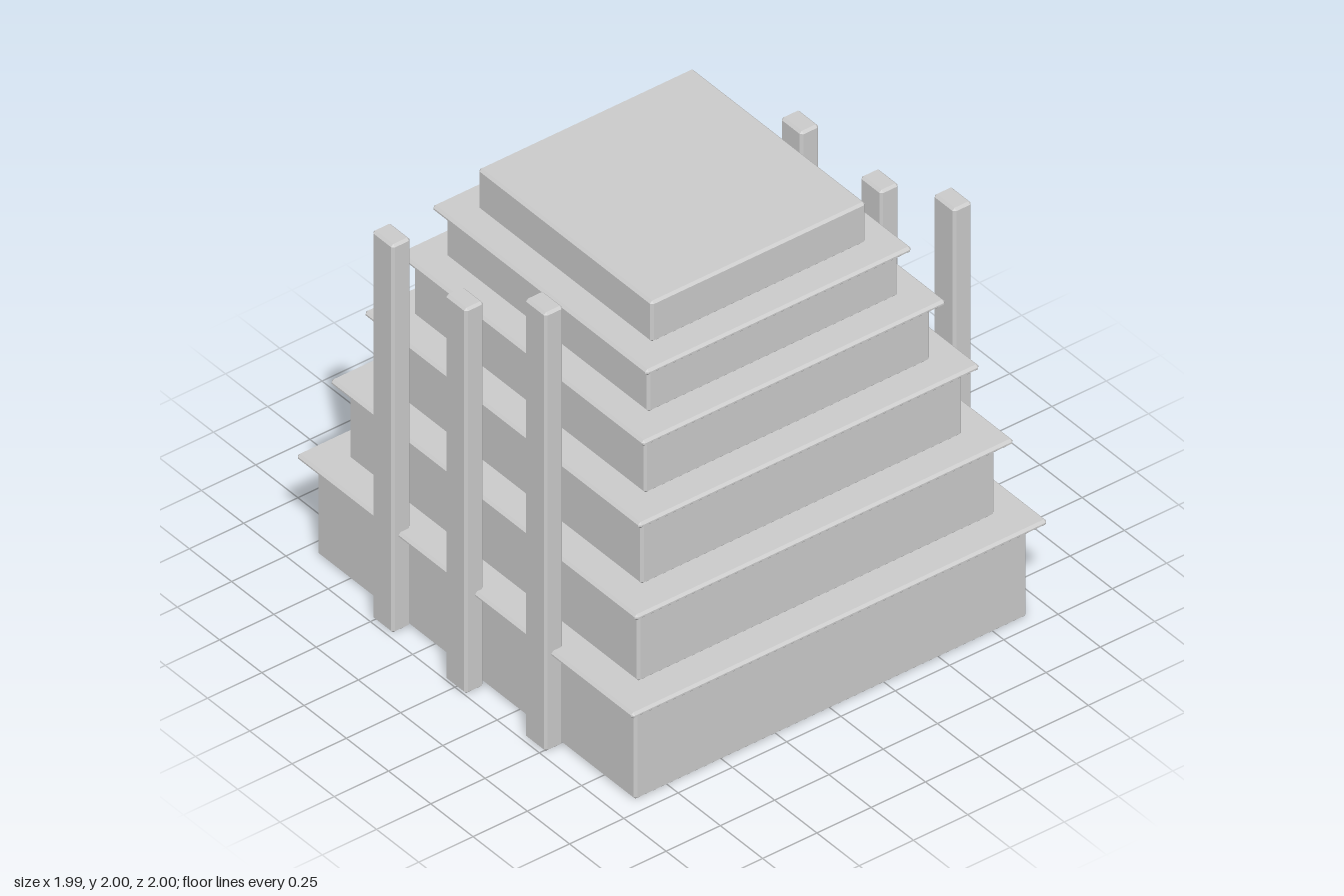
import * as THREE from 'three';
import { ConvexGeometry } from 'three/addons/geometries/ConvexGeometry.js';

const material = new THREE.MeshStandardMaterial({ color: 0xcccccc, flatShading: true });

// Box with chamfered edges, standing on y = 0: three points at every corner
function chamferBox(w, h, d, b) {
  const points = [];
  for (const sx of [-1, 1]) for (const sy of [-1, 1]) for (const sz of [-1, 1]) {
    for (let axis = 0; axis < 3; axis++) {
      const inset = [b, b, b];
      inset[axis] = 0;
      points.push(new THREE.Vector3(
        sx * (w / 2 - inset[0]),
        h / 2 + sy * (h / 2 - inset[1]),
        sz * (d / 2 - inset[2])
      ));
    }
  }
  return new ConvexGeometry(points);
}

function addBox(parent, name, [w, h, d], [x, y, z], bevel) {
  const mesh = new THREE.Mesh(chamferBox(w, h, d, bevel), material);
  mesh.name = name;
  mesh.position.set(x, y, z);
  parent.add(mesh);
}

export function createModel() {
  const model = new THREE.Group();
  model.name = 'steppedTower';

  // Tiers shrink upwards; each but the last carries an overhanging ledge
  const levels = [0, 0.45, 0.804, 1.13, 1.411, 1.64, 1.825];
  const ledge = 0.027;
  for (let i = 0; i < 6; i++) {
    const isTop = i === 5;
    const halfX = 0.942 - i * 0.0855;
    const halfZ = 0.903 - i * 0.0818;
    const height = levels[i + 1] - levels[i] - (isTop ? 0 : ledge);
    addBox(model, 'tier' + (i + 1), [halfX * 2, height, halfZ * 2], [0, levels[i], 0], 0.01);
    if (isTop) continue;
    const ledgeX = 0.996 - i * 0.09;
    const ledgeZ = 0.956 - i * 0.0862;
    addBox(model, 'ledge' + (i + 1), [ledgeX * 2, ledge, ledgeZ * 2],
      [0, levels[i + 1] - ledge, 0], 0.01);
  }

  // Posts along front and back, uneven in height; the middle one stands proud
  const posts = { front: [1.77, 1.757, 2], back: [1.41, 1.405, 1.6] };
  for (const [side, heights] of Object.entries(posts)) {
    const sign = side === 'front' ? 1 : -1;
    heights.forEach((height, i) => {
      const z = i === 1 ? 0.956 : 0.941;
      addBox(model, side + 'Post' + (i + 1), [0.125, height, 0.084],
        [(i - 1) * 0.452, 0, sign * z], 0.01);
    });
  }

  return model;
}
